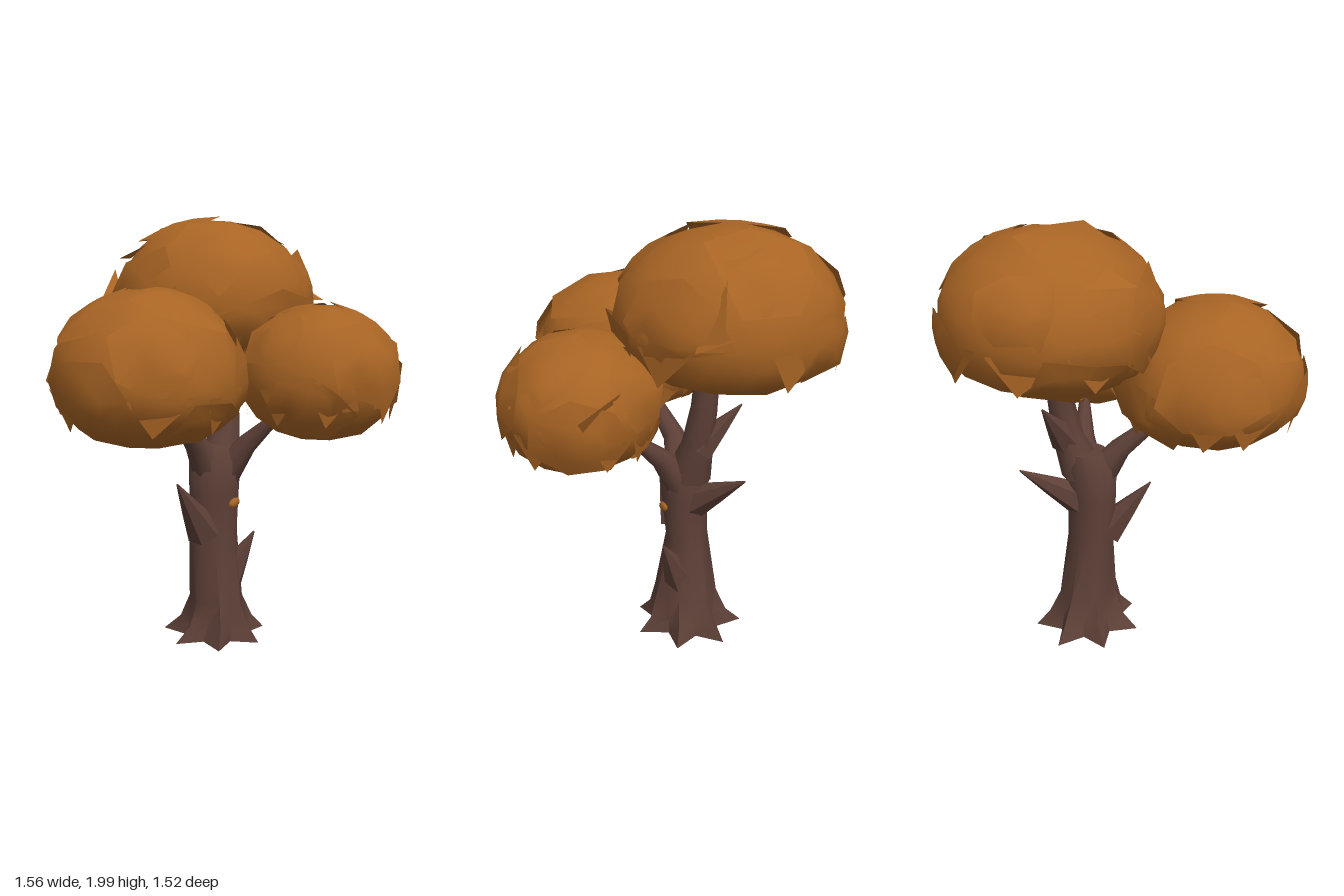
import * as THREE from 'three';
import { mergeVertices, toCreasedNormals } from 'three/addons/utils/BufferGeometryUtils.js';

const bark = new THREE.MeshStandardMaterial({ color: 0x5d4037, side: THREE.DoubleSide });
bark.name = 'bark brown';
const foliage = new THREE.MeshStandardMaterial({ color: 0xa86424, side: THREE.DoubleSide });
foliage.name = 'autumn orange';

const V = (x, y, z) => new THREE.Vector3(x, y, z);

// Small seeded random generator
function seeded(seed) {
  let s = seed;
  return () => (s = (s * 16807) % 2147483647) / 2147483647;
}

function buildGeometry(positions, index) {
  const g = new THREE.BufferGeometry();
  g.setAttribute('position', new THREE.Float32BufferAttribute(positions, 3));
  g.setIndex(index);
  g.computeVertexNormals();
  return g;
}

// Tapered limb: rings [x, y, z, radiusX, radiusZ, lobe], open at the foot and capped at the tip
function limb(name, rings, sides = 8) {
  const first = V(...rings[0]), last = V(...rings[rings.length - 1]);
  const turn = new THREE.Quaternion().setFromUnitVectors(V(0, 1, 0), last.clone().sub(first).normalize());
  const pos = [], idx = [];
  rings.forEach(([x, y, z, rx, rz = rx, lobe = 0], i) => {
    for (let j = 0; j < sides; j++) {
      const a = (j / sides) * Math.PI * 2;
      const k = 1 + (j % 2 ? -lobe : lobe * 0.15);
      const p = V(Math.cos(a) * rx * k, 0, Math.sin(a) * rz * k).applyQuaternion(turn);
      pos.push(x + p.x, lobe && i === 0 ? y : y + p.y, z + p.z);
    }
  });
  for (let i = 0; i < rings.length - 1; i++) {
    for (let j = 0; j < sides; j++) {
      const a = i * sides + j, b = i * sides + (j + 1) % sides;
      idx.push(a, a + sides, b, b, a + sides, b + sides);
    }
  }
  const end = (rings.length - 1) * sides;
  pos.push(...last.toArray());
  for (let j = 0; j < sides; j++) idx.push(end + sides, end + (j + 1) % sides, end + j);
  const mesh = new THREE.Mesh(toCreasedNormals(buildGeometry(pos, idx), 0.9), bark);
  mesh.name = name;
  return mesh;
}

// Maps a unit direction onto a crown; the underside can be fuller than an ellipsoid
function onCrown(d, k, { radii: [rx, up, down, rz], full }) {
  const wide = d.y < 0 ? k * (1 + full * d.y * d.y) : k;
  return V(d.x * rx * wide, d.y * (d.y > 0 ? up : down) * k, d.z * rz * wide);
}

// Rounded, slightly uneven leaf mass
function crownCore(crown, rand) {
  let g = new THREE.IcosahedronGeometry(1, 2);
  g.deleteAttribute('uv');
  g.deleteAttribute('normal');
  g = mergeVertices(g, 1e-4);
  const p = g.attributes.position;
  for (let i = 0; i < p.count; i++) {
    const v = onCrown(V().fromBufferAttribute(p, i).normalize(), 0.965 + rand() * 0.05, crown);
    p.setXYZ(i, v.x, v.y, v.z);
  }
  g.computeVertexNormals();
  return g;
}

// Ragged shell of leaves lying over the crown around one direction
function leafPatch(crown, dir, size, rand) {
  const n = 7, pos = onCrown(dir, 1.015, crown).toArray(), idx = [];
  const turn = new THREE.Quaternion().setFromUnitVectors(V(0, 1, 0), dir);
  for (const ring of [0.55, 1]) {
    for (let j = 0; j < n; j++) {
      const a = (j / n) * Math.PI * 2;
      const t = size * ring * (ring === 1 ? 0.75 + rand() * 0.6 : 1);
      const d = V(Math.sin(t) * Math.cos(a), Math.cos(t), Math.sin(t) * Math.sin(a)).applyQuaternion(turn);
      const k = ring === 1 ? 0.98 + rand() * 0.08 : 1.015;
      pos.push(...onCrown(d, k, crown).toArray());
    }
  }
  for (let j = 0; j < n; j++) {
    const a = 1 + j, b = 1 + (j + 1) % n;
    idx.push(0, b, a, a, b, a + n, b, b + n, a + n);
  }
  return buildGeometry(pos, idx);
}

function crownGroup(crown) {
  const group = new THREE.Group(), rand = seeded(crown.seed);
  group.name = crown.name;
  group.position.set(...crown.at);
  const add = (geometry, name) => {
    const m = new THREE.Mesh(geometry, foliage);
    m.name = name;
    group.add(m);
  };
  add(crownCore(crown, rand), 'leafMass');
  // Patches spiral evenly around the crown
  for (let i = 0; i < 9; i++) {
    const y = 0.92 - (i / 8) * 1.5, r = Math.sqrt(1 - y * y), a = i * 2.4 + crown.seed;
    add(leafPatch(crown, V(r * Math.cos(a), y, r * Math.sin(a)), 0.4 + rand() * 0.2, rand), 'leafPatch');
  }
  // Hanging jagged leaf tips under the rim
  const at = (a, y, k) => {
    const r = Math.sqrt(1 - y * y);
    return onCrown(V(Math.cos(a) * r, y, Math.sin(a) * r), k, crown).toArray();
  };
  for (let i = 0; i < 8; i++) {
    const a = (i / 8) * Math.PI * 2 + rand() * 0.4, w = 0.25 + rand() * 0.12;
    add(buildGeometry([...at(a - w, -0.1, 1), ...at(a + w, -0.15, 1), ...at(a + 0.1, -0.62, 1.08)], [0, 1, 2]), 'leafTip');
  }
  return group;
}

// A single pointed leaf from three corners
function leaf(...corners) {
  const m = new THREE.Mesh(buildGeometry(corners.flat(), [0, 1, 2]), foliage);
  m.name = 'looseLeaf';
  return m;
}

export function createModel() {
  const tree = new THREE.Group();
  tree.name = 'tree';

  // Trunk with flared roots
  tree.add(limb('trunk', [
    [0.03, 0, -0.075, 0.235, 0.25, 0.38],
    [0.04, 0.07, -0.07, 0.17, 0.19, 0.26],
    [0.035, 0.18, -0.06, 0.127, 0.155, 0.1],
    [0.02, 0.5, -0.065, 0.118, 0.1, 0.03],
    [0.02, 0.7, -0.055, 0.12, 0.108, 0],
    [0.025, 0.86, -0.06, 0.125, 0.12, 0],
    [0.03, 0.93, -0.075, 0.085, 0.09, 0],
  ], 14));

  // Boughs that carry the crowns
  tree.add(limb('backBough', [
    [0.05, 0.82, -0.08, 0.105], [0.1, 1.0, -0.13, 0.072], [0.115, 1.18, -0.16, 0.06], [0.11, 1.32, -0.17, 0.056]]));
  tree.add(limb('rightBough', [
    [0.0, 0.79, -0.04, 0.085], [-0.09, 0.95, 0.02, 0.052], [-0.18, 1.06, 0.12, 0.036], [-0.26, 1.16, 0.2, 0.02]]));
  tree.add(limb('leftBough', [
    [0.07, 0.79, -0.04, 0.08], [0.16, 0.94, 0.03, 0.048], [0.23, 1.03, 0.1, 0.032], [0.3, 1.11, 0.17, 0.015]]));

  // Broken twig stubs: base, tip, base radius
  const stubs = [
    [[-0.04, 0.52, -0.01], [-0.2, 0.78, 0.11], 0.085],
    [[0.05, 0.68, -0.1], [0.18, 0.87, -0.36], 0.085],
    [[0.08, 0.27, -0.05], [0.2, 0.51, 0.01], 0.085],
    [[0.1, 0.98, -0.14], [0.06, 1.19, -0.32], 0.075],
  ];
  for (const [a, b, r] of stubs) {
    const mid = a.map((v, i) => v * 0.5 + b[i] * 0.5);
    tree.add(limb('twigStub', [[...a, r], [...mid, r * 0.55], [...b, 0.004]], 6));
  }

  // Three leaf crowns; radii are x, up, down, z
  const crowns = [
    { name: 'rightCrown', at: [-0.37, 1.27, 0.315], radii: [0.41, 0.385, 0.28, 0.44], full: 0.08, seed: 7 },
    { name: 'leftCrown', at: [0.39, 1.28, 0.32], radii: [0.355, 0.305, 0.295, 0.345], full: 0.08, seed: 23 },
    { name: 'topCrown', at: [0.07, 1.6, -0.25], radii: [0.475, 0.385, 0.31, 0.5], full: 0.3, seed: 41 },
  ];
  crowns.forEach((c) => tree.add(crownGroup(c)));

  // Stray leaves sticking out of the crowns
  tree.add(leaf([0.45, 1.84, -0.3], [0.55, 1.58, -0.2], [0.62, 1.61, -0.32]));
  tree.add(leaf([0.53, 1.6, -0.2], [0.63, 1.6, -0.21], [0.6, 1.66, -0.38]));
  tree.add(leaf([-0.36, 1.75, -0.48], [-0.46, 1.62, -0.25], [-0.38, 1.6, -0.18]));
  tree.add(leaf([0.62, 1.42, 0.08], [0.78, 1.34, 0.21], [0.66, 1.22, 0.2]));
  tree.add(leaf([0.2, 1.96, -0.2], [0.46, 1.87, -0.3], [0.28, 1.93, -0.42]));
  tree.add(leaf([-0.1, 1.93, -0.3], [-0.39, 1.79, -0.2], [-0.3, 1.8, -0.4]));
  tree.add(leaf([0.05, 1.95, -0.12], [0.1, 1.84, 0.16], [-0.15, 1.92, -0.1]));
  tree.add(leaf([-0.1, 1.22, 0.35], [0.0, 1.2, 0.3], [-0.05, 1.06, 0.33]));

  // Fallen leaf caught on the bark
  const caught = new THREE.Mesh(new THREE.SphereGeometry(1, 8, 6), foliage);
  caught.name = 'caughtLeaf';
  caught.scale.set(0.04, 0.022, 0.015);
  caught.position.set(0.095, 0.66, 0.03);
  caught.rotation.set(0, 0.6, 0.2);
  tree.add(caught);

  return tree;
}
